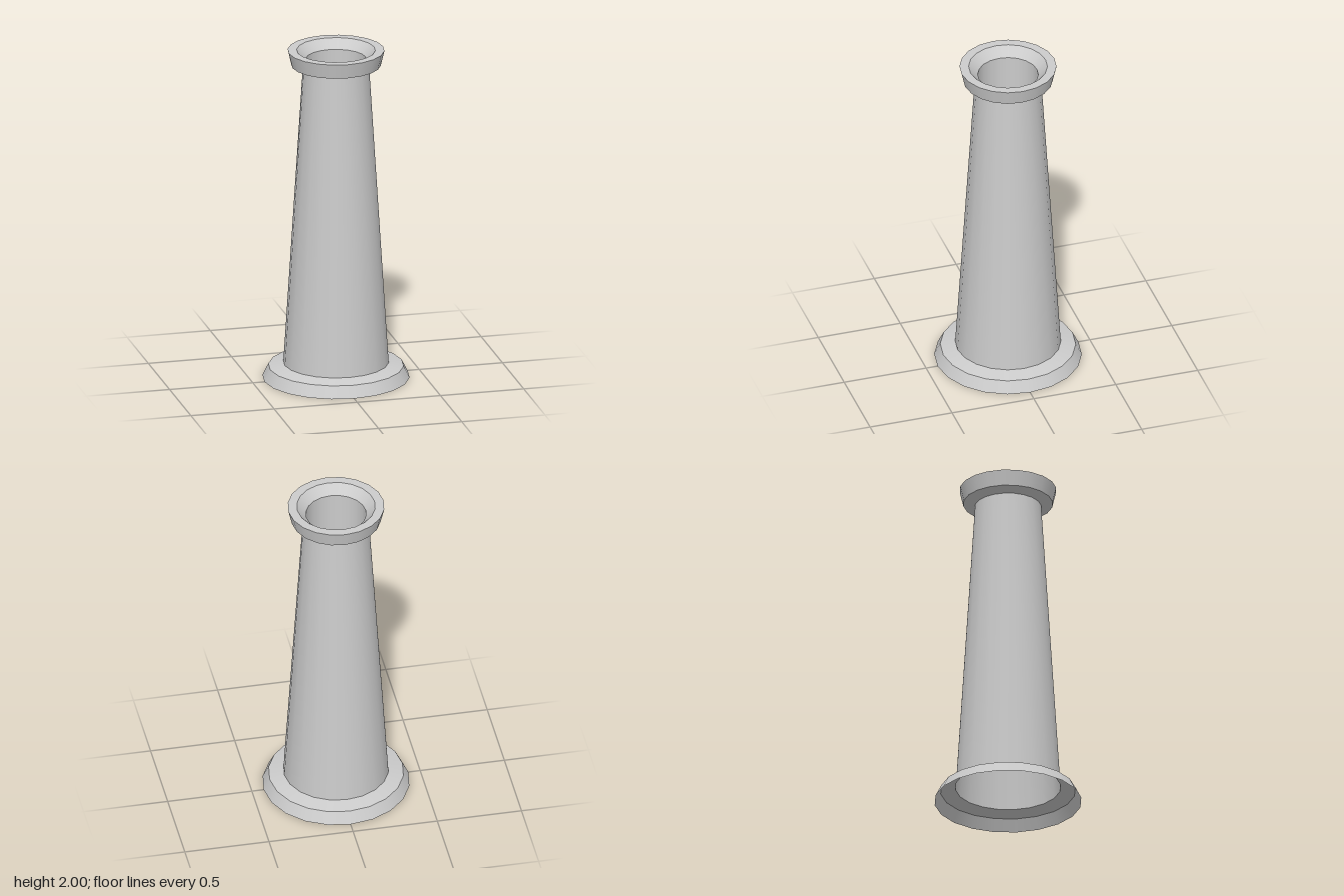
import * as THREE from 'three';

const SIDES = 20;

export function createModel() {
  const model = new THREE.Group();
  const material = new THREE.MeshStandardMaterial({ color: 0xcccccc, side: THREE.DoubleSide });

  // Each band is its own lathe: smooth around, sharp where bands meet
  function turned(name, profile) {
    const part = new THREE.Group();
    part.name = name;
    for (let i = 0; i < profile.length - 1; i++) {
      const points = [profile[i], profile[i + 1]].map(([r, y]) => new THREE.Vector2(r, y));
      const band = new THREE.Mesh(new THREE.LatheGeometry(points, SIDES), material);
      band.name = `${name}Band${i + 1}`;
      part.add(band);
    }
    model.add(part);
  }

  // Flared foot, open underneath
  turned('baseFlange', [[0.43, 0], [0.395, 0.07], [0.308, 0.09]]);

  // Tapering hollow column
  turned('shaft', [[0.308, 0.09], [0.195, 1.89]]);

  // Collar at the top with a bevelled mouth
  turned('topCollar', [[0.195, 1.89], [0.262, 1.91], [0.283, 2], [0.23, 2], [0.177, 1.945]]);

  // Bore going down from the mouth
  turned('bore', [[0.177, 1.945], [0.177, 1.6]]);

  // Floor closing the bore
  const floor = new THREE.Mesh(new THREE.CircleGeometry(0.177, SIDES), material);
  floor.name = 'boreFloor';
  floor.rotation.x = -Math.PI / 2;
  floor.position.y = 1.6;
  model.add(floor);

  return model;
}
